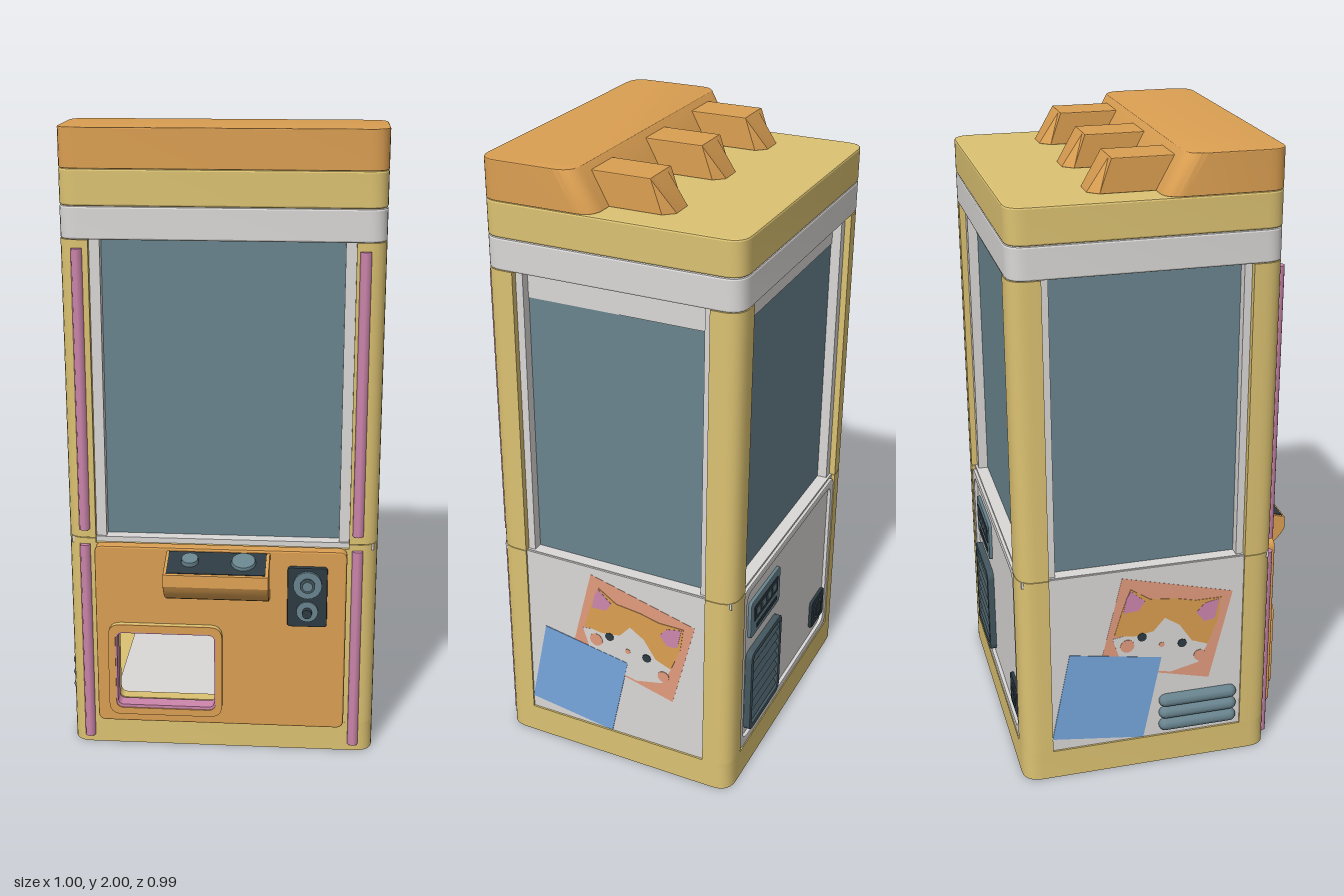
import * as THREE from 'three';
import { toCreasedNormals } from 'three/addons/utils/BufferGeometryUtils.js';

const mat = (name, color) => Object.assign(new THREE.MeshStandardMaterial({ color }), { name });
const M = {
  yellow: mat('yellow', 0xdcc272), orange: mat('orange', 0xdb9f52), white: mat('white', 0xdad8d6),
  steel: mat('steelBlue', 0x69848f), slate: mat('slate', 0x44575f), dark: mat('darkSlate', 0x2d3a42),
  pink: mat('pink', 0xcd86ac), blue: mat('blue', 0x76a6de), salmon: mat('salmon', 0xe29c7e),
};

// Rounded rectangle from its bounds
function rr(x0, y0, x1, y1, r, Type = THREE.Shape) {
  const s = new Type();
  s.moveTo(x0 + r, y0);
  s.lineTo(x1 - r, y0); s.quadraticCurveTo(x1, y0, x1, y0 + r);
  s.lineTo(x1, y1 - r); s.quadraticCurveTo(x1, y1, x1 - r, y1);
  s.lineTo(x0 + r, y1); s.quadraticCurveTo(x0, y1, x0, y1 - r);
  s.lineTo(x0, y0 + r); s.quadraticCurveTo(x0, y0, x0 + r, y0);
  return s;
}
function poly(points) {
  return new THREE.Shape(points.map(([x, y]) => new THREE.Vector2(x, y)));
}
function withHole(shape, x0, y0, x1, y1, r) {
  shape.holes.push(rr(x0, y0, x1, y1, r, THREE.Path));
  return shape;
}

export function createModel() {
  const root = new THREE.Group();
  root.name = 'clawMachine';
  const add = (name, geo, material, parent = root) => {
    const m = new THREE.Mesh(geo, material);
    m.name = name;
    parent.add(m);
    return m;
  };
  // Extrusion along z between two depths, with an optional bevel kept inside the outline
  const prism = (shape, z0, z1, bevel = 0) => {
    const g = new THREE.ExtrudeGeometry(shape, {
      depth: z1 - z0 - 2 * bevel, curveSegments: 6, bevelEnabled: bevel > 0,
      bevelSize: bevel, bevelThickness: bevel, bevelOffset: -bevel, bevelSegments: 2,
    });
    return g.translate(0, 0, z0 + bevel);
  };
  const crease = (g) => toCreasedNormals(g, 0.36);
  const front = (name, shape, z0, z1, m, bevel = 0) =>
    add(name, crease(prism(shape, z0, z1, bevel)), m);
  // Extrusion along y; the shape is drawn in (x, -z)
  const upright = (shape, y0, y1, bevel = 0) => prism(shape, y0, y1, bevel).rotateX(-Math.PI / 2);
  const slab = (name, shape, y0, y1, m, bevel = 0) =>
    add(name, crease(upright(shape, y0, y1, bevel)), m);
  const box = (name, x0, x1, y0, y1, z0, z1, m) =>
    add(name, new THREE.BoxGeometry(x1 - x0, y1 - y0, z1 - z0)
      .translate((x0 + x1) / 2, (y0 + y1) / 2, (z0 + z1) / 2), m);
  // Disc or knob facing along z
  const knob = (name, x, y, z0, z1, r, m) =>
    add(name, new THREE.CylinderGeometry(r, r, z1 - z0, 20).rotateX(Math.PI / 2)
      .translate(x, y, (z0 + z1) / 2), m);

  const X0 = -0.48, X1 = 0.5, ZB = -0.485, ZF = 0.33;
  const plan = () => rr(X0, -ZF, X1, -ZB, 0.06);

  // Base and roof slabs
  slab('baseSlab', plan(), 0, 0.1, M.yellow);
  box('chuteFloor', -0.36, 0.38, 0.1, 0.104, -0.44, 0.26, M.white);
  slab('whiteBand', plan(), 1.67, 1.77, M.white, 0.006);
  slab('roof', plan(), 1.77, 1.88, M.yellow, 0.006);

  // Corner posts, rounded on their outer corner, with white inner frames
  for (const [cx, sx] of [[X0, 1], [X1, -1]]) {
    for (const [cz, sz] of [[ZF, -1], [ZB, 1]]) {
      const p = (a, b) => [cx + sx * a, -(cz + sz * b)];
      const s = new THREE.Shape();
      s.moveTo(...p(0.06, 0));
      s.quadraticCurveTo(...p(0, 0), ...p(0, 0.06));
      for (const q of [p(0, 0.095), p(0.09, 0.095), p(0.09, 0)]) s.lineTo(...q);
      slab('lowerPost', s, 0.1, 0.72, M.yellow);
      slab('upperPost', s, 0.722, 1.67, M.yellow);
      const f = [p(0.02, 0.02), p(0.02, 0.118), p(0.122, 0.118), p(0.122, 0.02)];
      slab('innerFrame', poly(f), 0.72, 1.67, M.white);
    }
  }

  // Recessed glass cabinet with sill and upper strips
  box('glass', X0 + 0.052, X1 - 0.052, 0.72, 1.67, ZB + 0.052, ZF - 0.052, M.steel);
  box('sill', X0 + 0.012, X1 - 0.012, 0.7, 0.722, ZB + 0.012, ZF - 0.012, M.white);
  box('rearTopStrip', -0.37, 0.39, 1.58, 1.67, ZB + 0.049, ZB + 0.055, M.white);
  box('sideTopStrip', X1 - 0.055, X1 - 0.049, 1.58, 1.67, -0.37, 0.22, M.white);

  // Front wall and orange door with the prize opening
  front('frontWall', withHole(rr(-0.39, 0.1, 0.41, 0.705, 0.002), -0.325, 0.165, 0, 0.425, 0.025), 0.29, 0.33, M.yellow);
  front('frontDoor', withHole(rr(-0.39, 0.1, 0.405, 0.71, 0.025), -0.33, 0.155, 0, 0.43, 0.025), 0.33, 0.37, M.orange, 0.006);
  front('chuteFrame', withHole(rr(-0.35, 0.135, 0.015, 0.45, 0.04), -0.327, 0.158, -0.006, 0.425, 0.025), 0.365, 0.384, M.yellow);
  front('chuteFrameFace', withHole(rr(-0.35, 0.135, 0.015, 0.45, 0.04), -0.327, 0.158, -0.006, 0.425, 0.025), 0.384, 0.39, M.orange);
  front('chuteTrim', withHole(rr(-0.333, 0.15, 0, 0.431, 0.028), -0.322, 0.168, -0.01, 0.42, 0.02), 0.34, 0.386, M.pink);

  // Pink light strips
  for (const x of [-0.425, 0.437]) {
    for (const [y0, y1] of [[0.025, 0.7], [0.75, 1.645]]) {
      add('lightStrip', new THREE.CylinderGeometry(0.017, 0.017, y1 - y0, 8)
        .translate(x, (y0 + y1) / 2, 0.33), M.pink);
    }
  }

  // Control shelf: side profile in (z, y) swept across x
  const side = new THREE.Shape();
  side.moveTo(0.36, 0.7);
  side.lineTo(0.39, 0.7);
  side.lineTo(0.49, 0.668);
  side.lineTo(0.492, 0.63);
  side.quadraticCurveTo(0.47, 0.575, 0.39, 0.548);
  side.lineTo(0.36, 0.548);
  add('controlShelf', crease(prism(side, -0.165, 0.16, 0.003).rotateY(-Math.PI / 2)), M.orange);
  const controls = new THREE.Group();
  controls.name = 'controls';
  controls.position.set(0.002, 0.685, 0.432);
  controls.rotation.x = Math.atan2(0.032, 0.1);
  root.add(controls);
  add('controlPlate', new THREE.BoxGeometry(0.305, 0.008, 0.104), M.dark, controls);
  for (const [x, r, h] of [[-0.083, 0.028, 0.018], [0.083, 0.04, 0.014]]) {
    add('button', new THREE.CylinderGeometry(r * 0.9, r, h, 20).translate(x, h / 2, -0.005), M.steel, controls);
  }

  // Coin panel
  front('coinPanel', rr(0.22, 0.46, 0.345, 0.66, 0.012), 0.365, 0.385, M.dark, 0.004);
  knob('coinDial', 0.283, 0.605, 0.38, 0.395, 0.045, M.steel);
  knob('coinSlotRing', 0.283, 0.605, 0.39, 0.4, 0.024, M.slate);
  knob('coinSlotHub', 0.283, 0.605, 0.395, 0.405, 0.016, M.steel);
  knob('returnDial', 0.283, 0.515, 0.38, 0.392, 0.034, M.steel);
  knob('returnButton', 0.283, 0.515, 0.39, 0.412, 0.015, M.dark);

  // Roof sign with a sloping back, and three claws whose backs slope to a straight top edge
  const sloped = (name, shape, y1, limit, topZ) => {
    const g = upright(shape, 1.88, y1, 0.003);
    const p = g.attributes.position;
    for (let i = 0; i < p.count; i++) {
      const z = p.getZ(i), t = (p.getY(i) - 1.88) / (y1 - 1.88);
      if (z < limit) p.setZ(i, z + t * (topZ(z) - z));
    }
    add(name, crease(g), M.orange);
  };
  sloped('roofSign', rr(X0, -ZF, X1, 0.037, 0.06), 2, 0.15, (z) => z + 0.066);
  for (const x of [-0.325, 0, 0.34]) {
    sloped('roofClaw', poly([[x - 0.065, -0.1], [x + 0.065, -0.1], [x + 0.065, 0.2],
      [x + 0.036, 0.232], [x - 0.036, 0.232], [x - 0.065, 0.2]]), 1.98, 0, () => -0.165);
  }

  // Side panels with pictures, repeated by a half turn; shapes in hundredths
  const layer = (parent, name, shape, top, m) => add(name,
    prism(shape, 0, 1).scale(0.01, 0.01, top - 0.48).translate(0, 0, 0.48).rotateY(Math.PI / 2), m, parent);
  const disc = (x, y, r) => new THREE.Shape().absarc(x, y, r, 0, Math.PI * 2);
  for (const turn of [0, Math.PI]) {
    const g = new THREE.Group();
    g.name = 'sidePanel';
    g.position.set(0.01, 0, -0.0775);
    g.rotation.y = turn;
    root.add(g);
    add('panel', new THREE.BoxGeometry(0.01, 0.62, 0.63).translate(0.479, 0.41, 0), M.white, g);
    layer(g, 'picture', poly([[-8.3, 69.5], [27.8, 60], [20.4, 29.2], [-15.7, 38.7]]), 0.4848, M.salmon);
    layer(g, 'catFace', poly([[-11.5, 48.3], [-4.6, 49.3], [5.5, 56], [14, 52], [19.8, 41.9],
      [16.7, 35.5], [7.6, 33.4], [-3.5, 36], [-9.3, 41.4]]), 0.4856, M.white);
    layer(g, 'bluePoster', poly([[-25.3, 44.6], [4.5, 39.3], [-1.4, 10.1], [-31.3, 14.3]]), 0.4864, M.blue);
    layer(g, 'catFur', poly([[-10.9, 49.3], [-8.2, 58.4], [-5.6, 65.3], [0.7, 61], [9.2, 60], [15.6, 58.4],
      [24, 58.4], [23, 50.4], [19.8, 41.9], [14.5, 44], [10.3, 50.4], [5.5, 53.6], [1.8, 49.3], [-4.6, 48.3]]), 0.4864, M.orange);
    layer(g, 'catEar', poly([[-8, 57.2], [-7, 62], [-5.6, 64.8], [-1, 60.5], [-3, 57.5]]), 0.4872, M.pink);
    layer(g, 'catEar', poly([[15.8, 54], [18.5, 57], [23.4, 58], [22, 51], [18.5, 50.5]]), 0.4872, M.pink);
    for (const [x, y] of [[-1.9, 47.7], [11.3, 43.5]]) layer(g, 'catEye', disc(x, y, 1.5), 0.488, M.dark);
    for (const [x, y, r] of [[-6.7, 45.1, 2.3], [17.2, 38.2, 2], [4.6, 44, 0.9]]) {
      layer(g, 'catCheek', disc(x, y, r), 0.4872, M.salmon);
    }
  }

  // Pipes on the right side
  for (const y of [0.14, 0.185, 0.23]) {
    add('sidePipe', new THREE.CapsuleGeometry(0.023, 0.214, 4, 10).rotateX(Math.PI / 2)
      .translate(-0.477, y, 0.09), M.steel);
  }

  // Rear panel: raised rim, plate, vent, label plate and socket
  front('rearPanel', rr(-0.39, 0.1, 0.41, 0.72, 0.002), ZB + 0.014, ZB + 0.034, M.white);
  front('rearRim', withHole(rr(-0.39, 0.1, 0.41, 0.715, 0.03), -0.365, 0.125, 0.385, 0.69, 0.04), ZB + 0.002, ZB + 0.02, M.white, 0.003);
  front('vent', withHole(rr(0.095, 0.14, 0.355, 0.45, 0.03), 0.115, 0.16, 0.335, 0.43, 0.015), -0.493, -0.465, M.slate, 0.003);
  box('ventBack', 0.105, 0.345, 0.15, 0.44, -0.475, -0.465, M.dark);
  for (let i = 0; i < 7; i++) {
    const slat = add('ventSlat', new THREE.BoxGeometry(0.22, 0.02, 0.006), M.slate);
    slat.position.set(0.225, 0.18 + i * 0.038, -0.482);
    slat.rotation.x = 0.5;
  }
  front('labelPlate', rr(0.1, 0.5, 0.345, 0.635, 0.015), -0.482, -0.468, M.steel, 0.003);
  box('labelRecess', 0.125, 0.32, 0.555, 0.61, -0.484, -0.478, M.dark);
  for (let i = 0; i < 4; i++) box('labelTab', 0.14 + i * 0.045, 0.17 + i * 0.045, 0.57, 0.595, -0.486, -0.482, M.steel);
  box('labelLine', 0.13, 0.3, 0.52, 0.535, -0.484, -0.478, M.dark);
  front('socket', rr(-0.36, 0.16, -0.24, 0.27, 0.015), -0.482, -0.468, M.dark, 0.003);
  knob('socketRing', -0.3, 0.215, -0.484, -0.478, 0.038, M.slate);
  knob('socketHole', -0.3, 0.215, -0.486, -0.478, 0.028, M.dark);

  return root;
}
